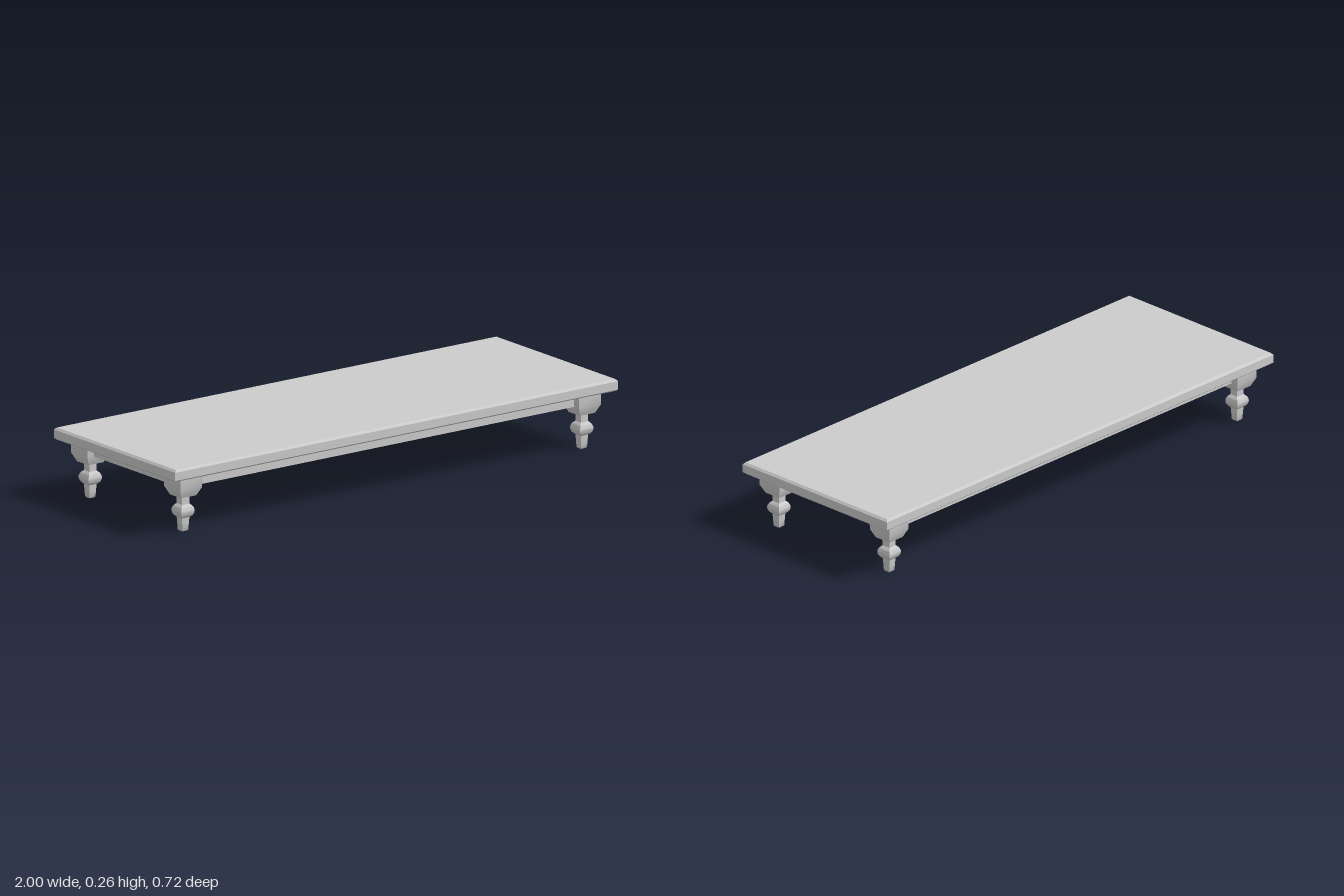
import * as THREE from 'three';
import { toCreasedNormals } from 'three/addons/utils/BufferGeometryUtils.js';

const material = new THREE.MeshStandardMaterial({ color: 0xcccccc });

// Lofts rectangular rings [y, halfX, halfZ], listed from bottom to top, into a capped solid.
function loft(rings) {
  const pos = [];
  const corner = ([y, hx, hz], i) => [[hx, y, hz], [hx, y, -hz], [-hx, y, -hz], [-hx, y, hz]][i % 4];
  const quad = (a, b, c, d) => pos.push(...a, ...b, ...c, ...a, ...c, ...d);
  for (let r = 0; r < rings.length - 1; r++) {
    for (let i = 0; i < 4; i++) {
      quad(corner(rings[r], i), corner(rings[r], i + 1), corner(rings[r + 1], i + 1), corner(rings[r + 1], i));
    }
  }
  const lo = rings[0], hi = rings[rings.length - 1];
  quad(corner(lo, 3), corner(lo, 2), corner(lo, 1), corner(lo, 0));
  quad(corner(hi, 0), corner(hi, 1), corner(hi, 2), corner(hi, 3));
  const geometry = new THREE.BufferGeometry();
  geometry.setAttribute('position', new THREE.Float32BufferAttribute(pos, 3));
  return toCreasedNormals(geometry, 0.7);
}

const square = (points) => loft(points.map(([y, h]) => [y, h, h]));

function addMesh(parent, name, geometry, x = 0, y = 0, z = 0) {
  const mesh = new THREE.Mesh(geometry, material);
  mesh.name = name;
  mesh.position.set(x, y, z);
  parent.add(mesh);
}

export function createModel() {
  const model = new THREE.Group();
  model.name = 'lowTable';
  const legX = 0.9, legZ = 0.275;

  // Tabletop with chamfered upper and lower edges
  addMesh(model, 'tabletop', loft([
    [0.214, 0.993, 0.353], [0.22, 1, 0.36], [0.251, 1, 0.36], [0.259, 0.992, 0.352],
  ]));

  // Square leg parts: tapered foot, rounded bulb, neck and corner block
  const foot = square([[0, 0.01], [0.004, 0.0135], [0.03, 0.015], [0.052, 0.0165]]);
  const bulbProfile = [];
  for (let i = 0; i <= 10; i++) {
    const a = (i / 10 - 0.5) * 2.1;
    bulbProfile.push([0.076 + 0.03 * Math.sin(a), 0.03 * Math.cos(a)]);
  }
  const bulb = square(bulbProfile);
  const neck = square([[0.1, 0.0165], [0.135, 0.0165]]);
  const block = square([[0.133, 0.034], [0.165, 0.049], [0.215, 0.05]]);

  for (const sx of [-1, 1]) {
    for (const sz of [-1, 1]) {
      const leg = new THREE.Group();
      leg.name = (sz > 0 ? 'front' : 'back') + (sx > 0 ? 'Left' : 'Right') + 'Leg';
      leg.position.set(sx * legX, 0, sz * legZ);
      addMesh(leg, 'foot', foot);
      addMesh(leg, 'bulb', bulb);
      addMesh(leg, 'neck', neck);
      addMesh(leg, 'block', block);
      model.add(leg);
    }
  }

  // Apron rails between the corner blocks
  const longRail = new THREE.BoxGeometry(2 * legX - 0.09, 0.049, 0.04);
  const shortRail = new THREE.BoxGeometry(0.04, 0.049, 2 * legZ - 0.09);
  for (const s of [-1, 1]) {
    addMesh(model, s > 0 ? 'frontRail' : 'backRail', longRail, 0, 0.1905, s * legZ);
    addMesh(model, s > 0 ? 'leftRail' : 'rightRail', shortRail, s * legX, 0.1905, 0);
  }
  return model;
}
